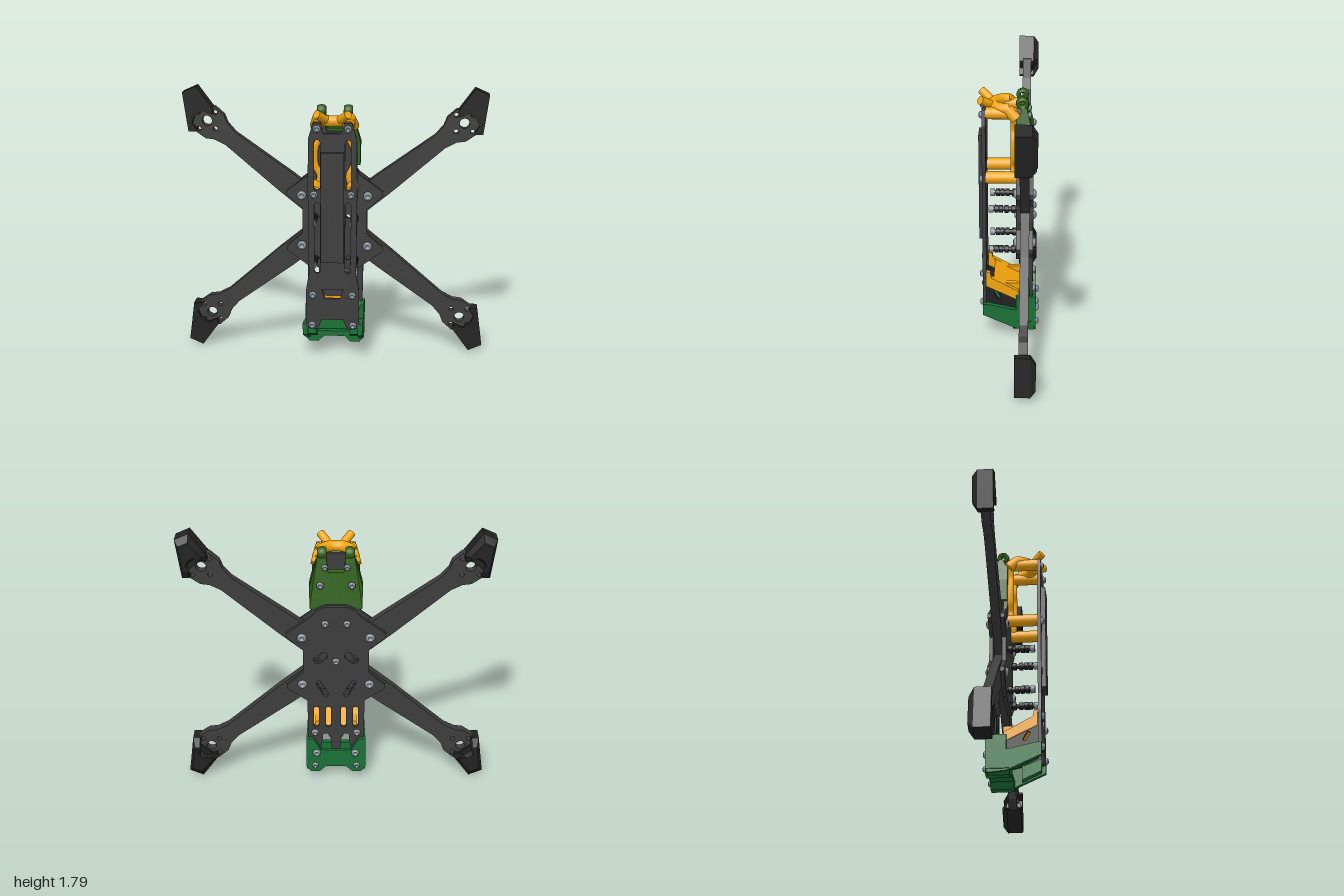
import * as THREE from 'three';

const mat = (color) => new THREE.MeshStandardMaterial({ color, side: THREE.DoubleSide });
const carbon = mat(0x3d3d3d), rubber = mat(0x222222), amber = mat(0xf2a50c);
const green = mat(0x1a7036), olive = mat(0x2f6119), steel = mat(0x87929b);

// full outline from its +x half, listed top to bottom
const mirrored = (half) => [...half, ...half.map(([x, y]) => [-x, y]).reverse()];
const both = (list) => list.flatMap(([x, ...r]) => [[x, ...r], [-x, ...r]]);
const v2 = (pts) => pts.map(([x, y]) => new THREE.Vector2(x, y));

// hole of width w and height h with round ends, turned by a
function slot(x, y, w, h = w, a = 0) {
  const r = w / 2, d = h / 2 - r, pts = [];
  for (let i = 0; i <= 16; i++) {
    const t = (i / 16) * Math.PI * 2, s = i < 8 ? d : -d;
    const px = r * Math.cos(t), py = r * Math.sin(t) + s;
    pts.push([x + px * Math.cos(a) - py * Math.sin(a), y + px * Math.sin(a) + py * Math.cos(a)]);
  }
  return pts;
}

export function createModel() {
  const root = new THREE.Group();
  const add = (name, geo, material) => {
    const m = new THREE.Mesh(geo, material);
    m.name = name;
    root.add(m);
    return m;
  };

  // flat part in the xy plane between z0 and z1
  function plateGeo(pts, z0, z1, holes = [], steps = 1) {
    const s = new THREE.Shape(v2(pts));
    s.holes = holes.map((h) => new THREE.Path(v2(h)));
    return new THREE.ExtrudeGeometry(s, { depth: z1 - z0, bevelEnabled: false, steps }).translate(0, 0, z0);
  }
  // part with a [z, y] side profile between x0 and x1
  const sideGeo = (pts, x0, x1, holes) =>
    plateGeo(pts, -x1, -x0, holes).rotateY(-Math.PI / 2);

  // round rod between two points
  function rod(name, a, b, r, material, r2 = r) {
    const A = new THREE.Vector3(...a), B = new THREE.Vector3(...b);
    const m = add(name, new THREE.CylinderGeometry(r2, r, A.distanceTo(B), 20), material);
    m.position.copy(A).lerp(B, 0.5);
    m.quaternion.setFromUnitVectors(new THREE.Vector3(0, 1, 0), B.sub(A).normalize());
    return m;
  }
  // domed screw head facing +z (dir 1) or -z (dir -1)
  function screw(x, y, z, dir, r = 0.024) {
    const g = new THREE.LatheGeometry(
      v2([[r, 0], [r, 0.006], [r * 0.75, 0.016], [r * 0.45, 0.02], [r * 0.4, 0.008], [0, 0.008]]), 16);
    add('screw', g.rotateX((dir * Math.PI) / 2).translate(x, y, z), steel);
  }

  // top deck
  const deck = mirrored([[0, 1.53], [0.06, 1.53], [0.075, 1.6], [0.125, 1.6], [0.155, 1.5], [0.16, 1.2],
    [0.155, 0.6], [0.175, 0.48], [0.175, 0.22], [0.1, 0.21], [0.07, 0.28], [0, 0.28]]);
  add('topDeck', plateGeo(deck, 0.148, 0.172, [
    ...both([[0.1]]).flatMap(([x]) => [slot(x, 0.84, 0.038, 0.48), slot(x, 1.325, 0.04, 0.33)]),
    [[-0.07, 0.49], [0.07, 0.49], [0.05, 0.425], [-0.05, 0.425]],
  ]), carbon);
  add('deckPad', plateGeo(mirrored([[0.075, 1.41], [0.075, 0.68]]), 0.172, 0.197), carbon);
  for (const [x, y] of both([[0.1, 1.56], [0.12, 1.13], [0.13, 0.45], [0.135, 0.24]])) screw(x, y, 0.172, 1);

  // middle and back plates clamping the arms
  const wings = [[0.165, 1.215], [0.32, 1.1], [0.32, 1.07], [0.215, 0.98], [0.215, 0.81], [0.32, 0.72], [0.32, 0.69]];
  add('middlePlate', plateGeo(
    mirrored([[0.05, 1.5], [0.07, 1.56], [0.12, 1.56], [0.14, 1.45], [0.14, 1.28], ...wings, [0.165, 0.575]]),
    -0.077, -0.05, [slot(0, 1.38, 0.1, 0.18), ...both([[0.09, 0.93], [0.09, 0.64]]).map(([x, y]) => slot(x, y, 0.03))]), carbon);
  add('backPlate', plateGeo(
    mirrored([[0.06, 1.29], [0.12, 1.265], ...wings, [0.19, 0.6], [0.185, 0.32], [0.16, 0.12], [0.11, 0.12], [0.085, 0.34],
      [0.055, 0.34], [0.03, 0.29], [0.03, 0.15], [0.06, 0.13], [0.06, 0.11], [0, 0.11]]),
    -0.16, -0.135, [slot(0, 0.895, 0.025),
      ...both([[0.1, 0.5]]).flatMap(([x, a]) => [slot(x, 0.92, 0.055, 0.1, Math.sign(x) * 0.9),
        slot(x * 0.9, 0.69, 0.035, 0.13, -Math.sign(x) * a), slot(x * 1.3, 0.47, 0.035, 0.16),
        slot(x * 0.5, 0.47, 0.035, 0.16)])]), carbon);
  for (const [x, y] of both([[0.22, 1.07], [0.22, 0.725]])) {
    screw(x, y, -0.05, 1, 0.03);
    screw(x, y, -0.16, -1, 0.03);
  }
  for (const [x, y] of both([[0.14, 0.35], [0.07, 1.17]])) screw(x, y, -0.16, -1);
  screw(0, 0.895, -0.16, -1);

  // four arms with motor mounts and end guards
  const cy = 0.895, angle = 0.667;
  const armHalf = [[0.1, 0.08], [0.42, 0.075], [0.88, 0.054], [0.96, 0.07], [1.01, 0.1], [1.09, 0.105], [1.14, 0.075], [1.17, 0.04]];
  const arm = [...armHalf, ...armHalf.map(([u, v]) => [u, -v]).reverse()];
  const mount = [slot(1.075, 0, 0.066)];
  for (let i = 0; i < 4; i++) {
    const t = i * Math.PI / 2 + 0.12;
    mount.push(slot(1.075 + 0.077 * Math.cos(t), 0.077 * Math.sin(t), 0.03));
  }
  const guard = [[1, 0.855], [0.91, 0.895], [0.8, 0.745], [0.81, 0.71], [0.87, 0.735], [0.92, 0.7],
    [0.94, 0.65], [0.91, 0.61], [0.92, 0.595], [0.965, 0.595]];
  for (const sx of [1, -1]) for (const sy of [1, -1]) {
    const place = ([u, v]) => [sx * (u * Math.cos(angle) - v * Math.sin(angle)),
      cy + sy * (u * Math.sin(angle) + v * Math.cos(angle))];
    add('arm', plateGeo(arm.map(place), -0.135, -0.077, mount.map((h) => h.map(place))), carbon);
    // guard narrows towards its back and front faces
    const g = plateGeo(guard.map(([x, y]) => [sx * x, cy + sy * y]), -0.185, -0.052, [], 4);
    const p = g.attributes.position, mx = sx * 0.925, my = cy + sy * 0.76;
    for (let i = 0; i < p.count; i++) if (p.getZ(i) < -0.18) {
      p.setX(i, mx + (p.getX(i) - mx) * 0.7);
      p.setY(i, my + (p.getY(i) - my) * 0.65);
    }
    g.computeVertexNormals();
    add('armGuard', g, rubber);
    // shelf of the guard behind the motor mount
    add('guardShelf', plateGeo([[1, 0.855], [0.91, 0.895], [0.8, 0.745], [0.85, 0.71], [0.92, 0.65], [0.965, 0.595]]
      .map(([x, y]) => [sx * x, cy + sy * y]), -0.15, -0.134), rubber);
  }

  // electronics standoffs
  for (const [x, y] of both([[0.135, 0.635], [0.135, 0.925]])) {
    rod('stackBolt', [x, y, -0.05], [x, y, 0.1], 0.016, rubber);
    for (const z of [-0.03, 0.015, 0.05, 0.08]) rod('stackGrommet', [x, y, z - 0.013], [x, y, z + 0.013], 0.026, rubber);
    rod('stackNut', [x, y, 0.1], [x, y, 0.13], 0.025, steel);
  }

  // amber antenna and camera mount
  const arch = new THREE.TorusGeometry(0.105, 0.036, 14, 32, Math.PI).rotateX(Math.PI / 2);
  add('mountArch', arch.translate(0, 1.6, 0), amber);
  for (const s of [1, -1]) {
    rod('archLeg', [s * 0.105, 1.6, 0.01], [s * 0.125, 1.54, -0.05], 0.037, amber);
    rod('antennaHorn', [s * 0.035, 1.6, 0.1], [s * 0.1, 1.655, 0.18], 0.027, amber);
    rod('upperStandoff', [s * 0.1, 1.57, -0.05], [s * 0.1, 1.57, 0.148], 0.038, amber);
    rod('lowerStandoff', [s * 0.12, 1.14, -0.05], [s * 0.12, 1.14, 0.148], 0.04, amber);
    const path = new THREE.CatmullRomCurve3([[0.12, 1.56], [0.1, 1.46], [0.125, 1.4], [0.125, 1.28], [0.095, 1.21], [0.12, 1.12]]
      .map(([x, y]) => new THREE.Vector3(s * x, y, -0.032)));
    add('mountRail', new THREE.TubeGeometry(path, 40, 0.022, 10), amber);
  }

  // olive rear bracket, thinner at the top, with two hinge knuckles
  const bracket = plateGeo(mirrored([[0.05, 1.52], [0.06, 1.61], [0.12, 1.61], [0.17, 1.43], [0.168, 1.28], [0.14, 1.27], [0.07, 1.31]]),
    -0.155, -0.078);
  const bp = bracket.attributes.position;
  for (let i = 0; i < bp.count; i++) {
    if (bp.getZ(i) < -0.15) bp.setZ(i, -0.16 + 0.045 * THREE.MathUtils.smoothstep(bp.getY(i), 1.4, 1.6));
  }
  bracket.computeVertexNormals();
  add('rearBracket', bracket, olive);
  for (const s of [1, -1]) {
    add('bracketSide', plateGeo([[s * 0.168, 1.28], [s * 0.17, 1.43], [s * 0.13, 1.58], [s * 0.118, 1.57], [s * 0.15, 1.43], [s * 0.148, 1.28]],
      -0.08, -0.05), olive);
    add('hingeKnuckle', new THREE.TorusGeometry(0.027, 0.014, 10, 24).scale(1, 1, 2.2).rotateY(Math.PI / 2)
      .translate(s * 0.088, 1.635, -0.085), olive);
    screw(s * 0.1, 1.44, -0.155, -1);
    screw(s * 0.07, 1.55, -0.125, -1, 0.02);
  }

  // green bottom bumper: back wall, floor and swept side walls
  const foot = [[0.2, 0.085], [0.17, 0.05], [0.11, 0.05], [0.07, 0.09], [0, 0.09]];
  add('bumperBack', plateGeo(mirrored([[0, 0.22], [0.1, 0.22], [0.15, 0.31], [0.2, 0.31], ...foot]), -0.182, -0.16), green);
  add('bumperFloor', plateGeo(mirrored([[0, 0.125], [0.2, 0.125], ...foot]), -0.16, -0.03), green);
  add('bumperBar', new THREE.BoxGeometry(0.36, 0.08, 0.03).translate(0, 0.175, -0.06), green);
  const wall = [[0.172, 0.25], [0.172, 0.17], [-0.05, 0.07], [-0.17, 0.06], [-0.182, 0.09], [-0.182, 0.31], [-0.05, 0.31], [-0.05, 0.21], [0.14, 0.25]];
  for (const s of [1, -1]) {
    const span = (a, b) => (s > 0 ? [a, b] : [-b, -a]);
    add('bumperSide', sideGeo(wall, ...span(0.165, 0.198)), green);
    add('bumperFrontPost', sideGeo([[0.147, 0.25], [0.147, 0.17], [0.02, 0.11], [0.02, 0.2]], ...span(0.11, 0.165)), green);
    // dark side panel with a slanted window, under an amber edge
    add('sidePanel', sideGeo([[0.148, 0.38], [0.148, 0.24], [-0.05, 0.2], [-0.05, 0.29]], ...span(0.145, 0.165),
      [slot(0.075, 0.305, 0.022, 0.07, -0.5)]), rubber);
    add('holderSide', sideGeo([[0.147, 0.48], [0.122, 0.47], [0.115, 0.435], [-0.07, 0.335], [-0.07, 0.29], [-0.05, 0.28], [0.147, 0.375]],
      ...span(0.135, 0.172)), amber);
    add('holderWing', sideGeo([[0.03, 0.385], [-0.075, 0.385], [-0.075, 0.33], [-0.05, 0.33]], ...span(0.11, 0.14)), amber);
    screw(s * 0.13, 0.2, -0.182, -1, 0.026);
    screw(s * 0.14, 0.1, -0.182, -1, 0.022);
  }
  add('holderTray', sideGeo([[0.1, 0.425], [-0.07, 0.335], [-0.07, 0.31], [0.1, 0.4]], -0.14, 0.14), amber);

  return root;
}
